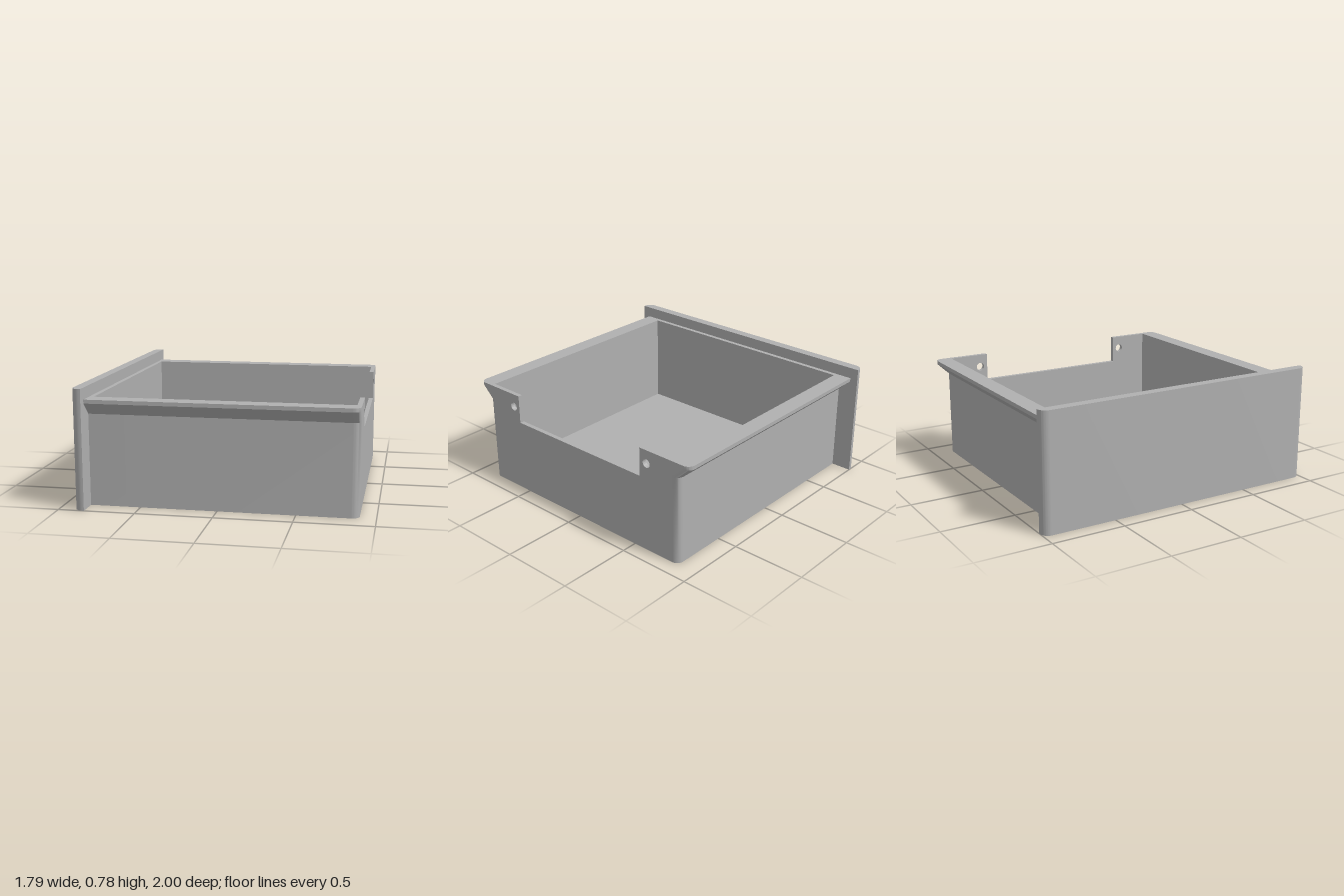
import * as THREE from 'three';
import { toCreasedNormals } from 'three/addons/utils/BufferGeometryUtils.js';

const FRONT = -0.83, END = 0.895, WALL = 0.03, TOP = 0.705, INNER = 0.83, FLOOR = 0.06;
const R = 0.05; // radius of the vertical corners

const smooth = (g) => toCreasedNormals(g, 0.6);

// Side wall with flared rail: one cross-section swept along x, pulled in at the rounded corner
function sideWall(s) {
  const section = (x, inner) => {
    const t = Math.max(0, x - (END - R));
    const d = R - Math.sqrt(Math.max(0, R * R - t * t));
    const out = 0.86 - d, rail = 0.945 - d;
    return [[inner, 0], [out, 0], [out, 0.6], [rail, 0.68], [rail, TOP], [inner, TOP]]
      .map(([z, y]) => [x, y, s * z]);
  };
  const rings = [section(FRONT, INNER)];
  const xi = END - WALL;
  const a0 = Math.asin((xi - (END - R)) / R);
  for (let i = 0; i <= 3; i++) rings.push(section(END - R + R * Math.sin(a0 * i / 3), INNER));
  for (let i = 0; i <= 8; i++) rings.push(section(END - R + R * Math.sin(a0 + (Math.PI / 2 - a0) * i / 8), 0.8));

  const pos = [];
  const tri = (a, b, c) => pos.push(...a, ...(s > 0 ? b : c), ...(s > 0 ? c : b));
  for (let i = 0; i + 1 < rings.length; i++) {
    const p = rings[i], q = rings[i + 1];
    for (let j = 0; j < 6; j++) {
      const k = (j + 1) % 6;
      tri(p[j], q[k], p[k]);
      tri(p[j], q[j], q[k]);
    }
  }
  // End caps
  const first = rings[0], last = rings[rings.length - 1];
  const flat = (ring) => ring.map(([, y, z]) => new THREE.Vector2(s * z, y));
  for (const [a, b, c] of THREE.ShapeUtils.triangulateShape(flat(first), [])) tri(first[a], first[b], first[c]);
  for (const [a, b, c] of THREE.ShapeUtils.triangulateShape(flat(last), [])) tri(last[a], last[c], last[b]);

  const g = new THREE.BufferGeometry();
  g.setAttribute('position', new THREE.Float32BufferAttribute(pos, 3));
  return smooth(g);
}

// Notched end wall with two screw holes
function endWall() {
  const w = 0.8, n = 0.55, low = 0.51;
  const shape = new THREE.Shape([
    [-w, 0], [w, 0], [w, TOP], [n, TOP], [n, low], [-n, low], [-n, TOP], [-w, TOP],
  ].map(([x, y]) => new THREE.Vector2(x, y)));
  for (const s of [-1, 1]) {
    const hole = new THREE.Path();
    hole.absarc(s * 0.605, 0.615, 0.029, 0, Math.PI * 2, true);
    shape.holes.push(hole);
  }
  const g = new THREE.ExtrudeGeometry(shape, { depth: WALL, bevelEnabled: false, curveSegments: 24 });
  return smooth(g.rotateY(Math.PI / 2).translate(END - WALL, 0, 0));
}

// Face panel, rounded on its outer vertical edges
function facePanel() {
  const r = 0.055, x0 = -END;
  const shape = new THREE.Shape();
  shape.moveTo(FRONT, -1);
  shape.lineTo(FRONT, 1);
  shape.lineTo(x0 + r, 1);
  shape.absarc(x0 + r, 1 - r, r, Math.PI / 2, Math.PI, false);
  shape.lineTo(x0, -1 + r);
  shape.absarc(x0 + r, -1 + r, r, Math.PI, Math.PI * 1.5, false);
  const g = new THREE.ExtrudeGeometry(shape, { depth: 0.78, bevelEnabled: false, curveSegments: 10 });
  return smooth(g.rotateX(-Math.PI / 2));
}

// Box from its lower and upper corners
function block(x0, x1, y1, halfZ) {
  return new THREE.BoxGeometry(x1 - x0, y1, halfZ * 2).translate((x0 + x1) / 2, y1 / 2, 0);
}

export function createModel() {
  const grey = new THREE.MeshStandardMaterial({ color: 0xb0b0b0 });
  grey.name = 'plainGrey';
  const group = new THREE.Group();
  group.name = 'drawer';
  const add = (name, geometry) => {
    const mesh = new THREE.Mesh(geometry, grey);
    mesh.name = name;
    group.add(mesh);
  };

  add('facePanel', facePanel());
  add('frontWall', block(FRONT, FRONT + WALL, TOP, INNER));
  add('floor', block(FRONT + WALL, END - WALL, FLOOR, INNER));
  add('endWall', endWall());
  add('sideWallNear', sideWall(1));
  add('sideWallFar', sideWall(-1));
  return group;
}
